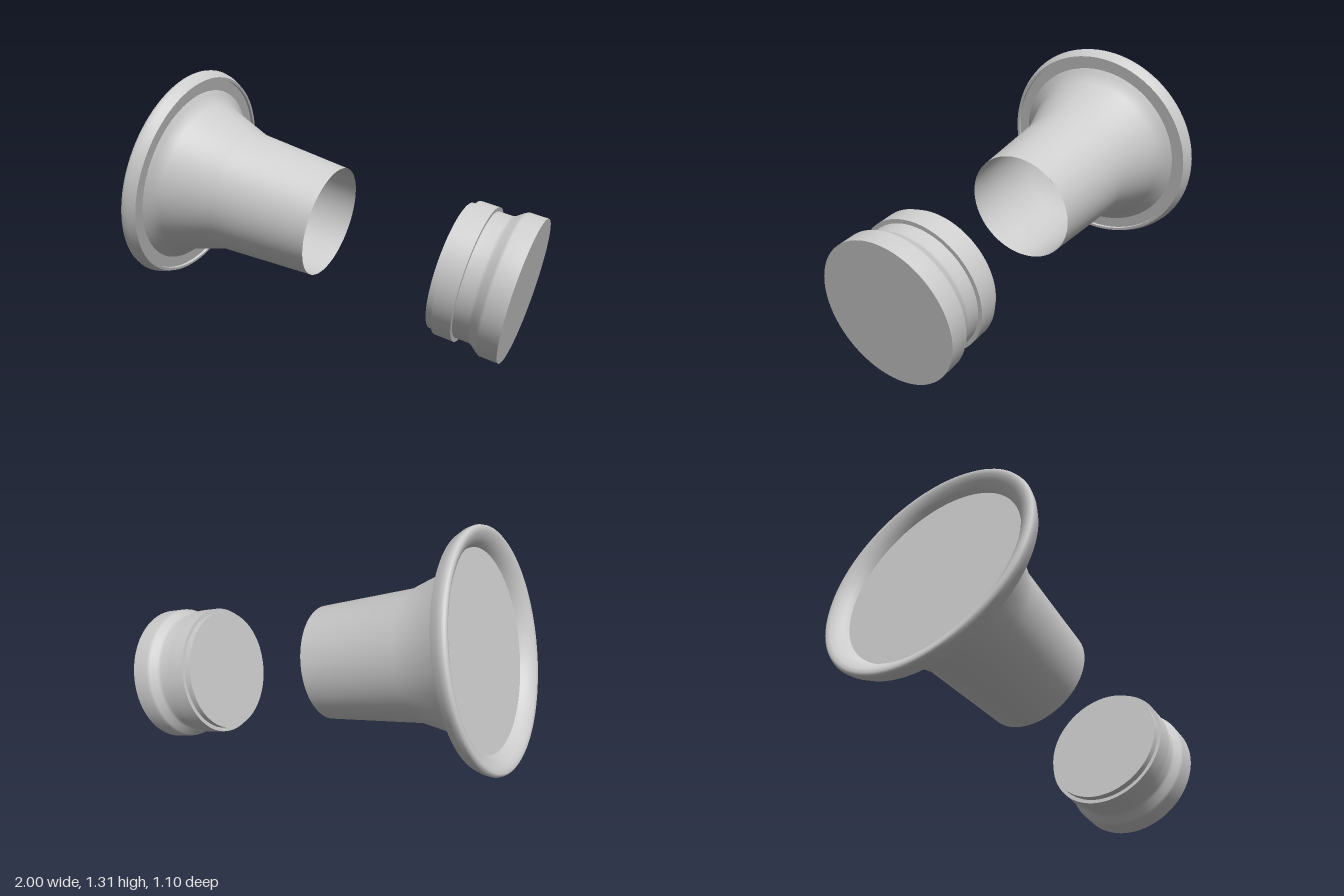
import * as THREE from 'three';

const grey = new THREE.MeshStandardMaterial({ color: 0xcccccc, side: THREE.DoubleSide });
grey.name = 'light grey';

// Revolved part made of smooth bands with sharp edges between them.
// Each band is a list of [radius, distance along the axis].
function turned(name, bands) {
  const part = new THREE.Group();
  part.name = name;
  for (const [bandName, points] of Object.entries(bands)) {
    const profile = points.map(([r, s]) => new THREE.Vector2(r, s));
    const mesh = new THREE.Mesh(new THREE.LatheGeometry(profile, 96), grey);
    mesh.name = bandName;
    part.add(mesh);
  }
  return part;
}

export function createModel() {
  const model = new THREE.Group();
  model.name = 'flaredSleeveAndPlug';

  // Both parts share one axis, tipped 14 degrees down towards +x
  const axis = new THREE.Group();
  axis.name = 'tiltedAxis';
  axis.rotation.z = -THREE.MathUtils.degToRad(104);
  axis.position.set(0.134, 0.536, 0);
  model.add(axis);

  // Flange with a dished back, and a hollow sleeve open at the far end
  axis.add(turned('flaredSleeve', {
    backDisk: [[0, -0.972], [0.455, -0.972]],
    dishedRim: [[0.455, -0.972], [0.468, -0.995], [0.49, -1.016], [0.515, -1.029], [0.534, -1.033],
      [0.544, -1.026], [0.548, -1.013], [0.543, -0.99], [0.526, -0.957]],
    rimFace: [[0.526, -0.957], [0.512, -0.957]],
    rimStep: [[0.512, -0.957], [0.512, -0.971]],
    flangeFace: [[0.512, -0.971], [0.455, -0.971]],
    sleeve: [[0.455, -0.971], [0.437, -0.957], [0.391, -0.92], [0.309, -0.679], [0.276, -0.185]],
  }));

  // Plug with a raised collar, a neck and a wider head
  axis.add(turned('plug', {
    innerEnd: [[0, 0.459], [0.307, 0.459]],
    tip: [[0.307, 0.459], [0.307, 0.492]],
    collarBack: [[0.307, 0.492], [0.326, 0.492]],
    collar: [[0.326, 0.492], [0.326, 0.585]],
    collarFront: [[0.326, 0.585], [0.306, 0.585]],
    neckAndHead: [[0.306, 0.585], [0.306, 0.655], [0.313, 0.672], [0.336, 0.703], [0.344, 0.718], [0.344, 0.807]],
    outerEnd: [[0.344, 0.807], [0, 0.807]],
  }));

  return model;
}
